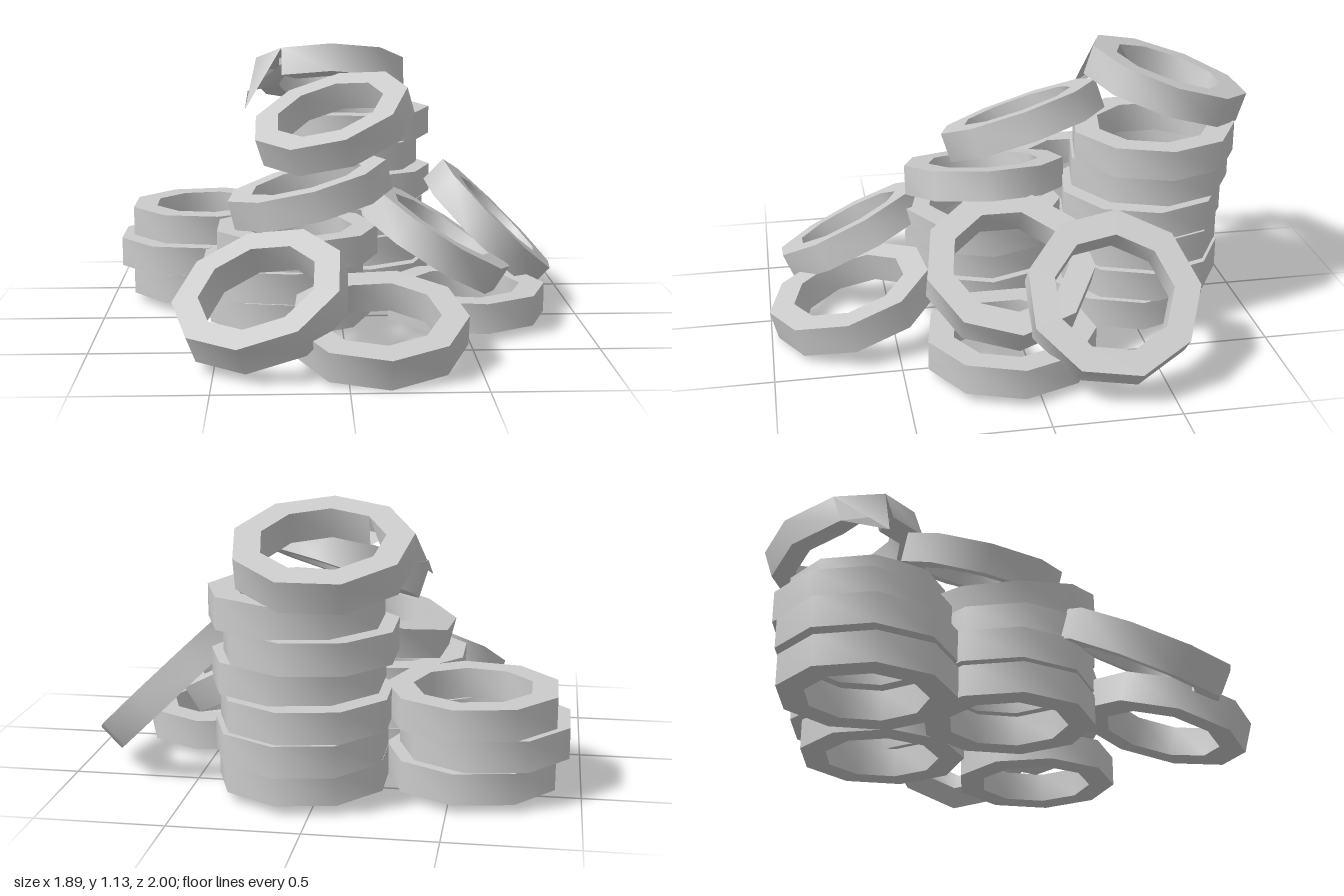
import * as THREE from 'three';
import { toCreasedNormals } from 'three/addons/utils/BufferGeometryUtils.js';

const OUTER = 0.34, INNER = 0.235, HALF = 0.0615, SIDES = 9;
const UP = new THREE.Vector3(0, 1, 0);

// Ring section, walked from the inner bottom corner round to itself
const SECTION = [
  [INNER, -HALF], [OUTER, -HALF], [OUTER, HALF], [INNER, HALF], [INNER, -HALF],
].map(([r, y]) => new THREE.Vector2(r, y));

export function createModel() {
  const model = new THREE.Group();
  const material = new THREE.MeshStandardMaterial({ color: 0xcccccc, side: THREE.DoubleSide });

  // Place a nine-sided ring with its axis along `axis` and its seam at `phase` degrees
  // from +x towards +z; `pulled` moves corners of the seam's end: [section index, point]
  function addRing(name, center, axis = [0, 1, 0], phase = 0, parent = model, pulled = []) {
    const geometry = new THREE.LatheGeometry(SECTION, SIDES)
      .rotateY(Math.PI / 2 - THREE.MathUtils.degToRad(phase));
    const ring = new THREE.Mesh(geometry, material);
    ring.name = name;
    ring.position.set(...center);
    ring.quaternion.setFromUnitVectors(UP, new THREE.Vector3(...axis).normalize());
    parent.add(ring);
    ring.updateMatrixWorld();
    for (const [corner, point] of pulled) {
      const p = ring.worldToLocal(new THREE.Vector3(...point));
      geometry.attributes.position.setXYZ(SIDES * SECTION.length + corner, p.x, p.y, p.z);
    }
    // Walls shade smoothly, rims stay sharp
    ring.geometry = toCreasedNormals(geometry, 0.85);
  }

  // Flat stacks, listed bottom to top as [x, z]
  const levels = [0.092, 0.219, 0.348, 0.495, 0.62, 0.753];
  const stacks = {
    backStack: [[0.07, -0.505], [0.07, -0.555], [0.05, -0.555], [0.08, -0.555], [0.025, -0.6], [0.08, -0.6]],
    sideStack: [[-0.58, -0.4], [-0.63, -0.395], [-0.58, -0.43]],
    middleStack: [[-0.22, 0.07], [-0.25, 0.07], [-0.19, 0.07]],
    singleBase: [[0.51, 0.07]],
  };
  for (const [name, spots] of Object.entries(stacks)) {
    const stack = new THREE.Group();
    stack.name = name;
    spots.forEach(([x, z], i) => addRing('flatRing', [x, levels[i], z], [0, 1, 0], 0, stack));
    model.add(stack);
  }

  // Rings tipped over or leaning against the stacks
  addRing('middleTiltedRing', [-0.133, 0.545, 0.07], [-0.24, 0.97, 0], 5);
  addRing('upperLeaningRing', [-0.032, 0.82, -0.075], [-0.3, 1, 0.31], 2);
  addRing('leftLeaningRing', [0.385, 0.35, 0.055], [0.53, 0.85, 0]);
  addRing('leftSteepRing', [0.66, 0.33, -0.3], [0.7, 0.72, 0.03], -9);
  addRing('frontUpperRing', [-0.32, 0.245, 0.617], [-0.3, 1, 0.47], 26);
  addRing('frontLowerRing', [0.12, 0.14, 0.66], [0, 0.97, 0.25], 5);

  // Top ring, whose seam is torn at the bottom and hangs down as a spike
  addRing('topRing', [-0.03, 0.957, -0.675], [0, 0.95, -0.31], 130, model, [
    [0, [-0.4, 0.9, -0.47]],
    [1, [-0.41, 0.83, -0.38]],
    [4, [-0.4, 0.9, -0.47]],
  ]);

  return model;
}
